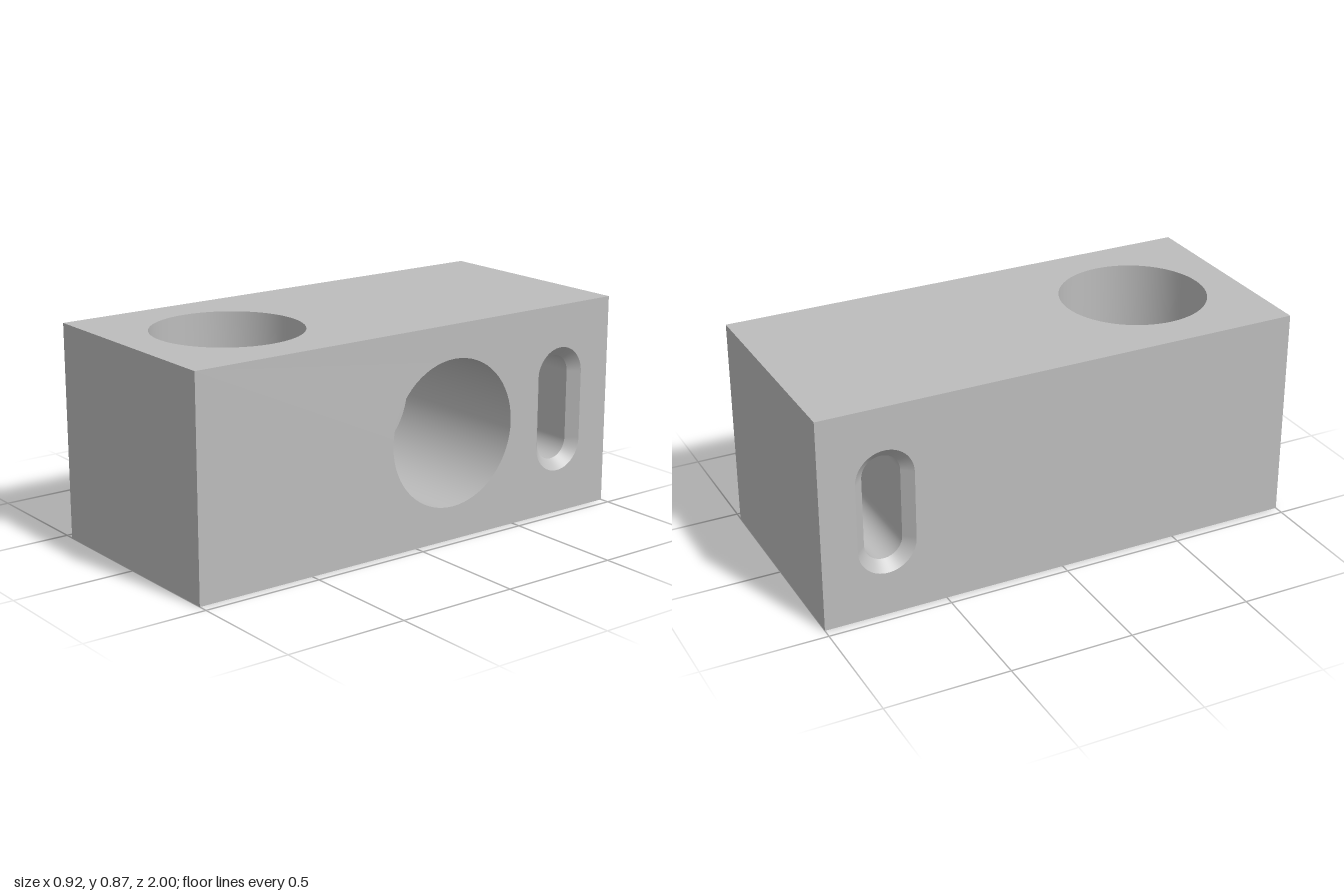
import * as THREE from 'three';

const W = 0.46, H = 0.87, L = 1;      // half width, height, half length
const SEG = 64;
const BORE = { radius: 0.298, depth: 0.65 };
const SLOT = { z: -0.738, y: 0.437, half: 0.14, inner: 0.077, outer: 0.118, bevel: 0.04 };

const grey = new THREE.MeshStandardMaterial({ color: 0xbcbcbc });
grey.name = 'grey';

function mesh(name, geometry) {
  const m = new THREE.Mesh(geometry, grey);
  m.name = name;
  return m;
}

// Rounded slot outline (a circle when half is 0), anticlockwise
function outline(cx, cy, radius, half = 0) {
  const points = [];
  for (let end = 0; end < 2; end++) {
    const n = SEG / 2 + (half > 0 ? 1 : 0);
    for (let i = 0; i < n; i++) {
      const a = Math.PI * (end + i / (SEG / 2));
      const shift = end === 0 ? half : -half;
      points.push(new THREE.Vector2(cx + radius * Math.cos(a), cy + shift + radius * Math.sin(a)));
    }
  }
  return points;
}

// Flat face centred on the local origin, facing +z, with optional openings
function face(name, w, h, holes = []) {
  const shape = new THREE.Shape([[-w, -h], [w, -h], [w, h], [-w, h]].map(p => new THREE.Vector2(...p)));
  for (const points of holes) shape.holes.push(new THREE.Path(points));
  return mesh(name, new THREE.ShapeGeometry(shape));
}

// Inward-facing wall between two matching outlines
function band(name, a, za, b, zb) {
  const n = a.length, positions = [], index = [];
  a.forEach(p => positions.push(p.x, p.y, za));
  b.forEach(p => positions.push(p.x, p.y, zb));
  for (let i = 0; i < n; i++) {
    const j = (i + 1) % n;
    index.push(i, j, n + i, j, n + j, n + i);
  }
  const g = new THREE.BufferGeometry();
  g.setAttribute('position', new THREE.Float32BufferAttribute(positions, 3));
  g.setIndex(index);
  g.computeVertexNormals();
  return mesh(name, g);
}

// Blind round hole sunk into a face
function bore(name, cx, cy) {
  const group = new THREE.Group();
  group.name = name;
  const { radius, depth } = BORE;
  const rim = outline(0, 0, radius);
  const floor = mesh(name + 'Floor', new THREE.CircleGeometry(radius, SEG));
  floor.position.z = -depth;
  group.add(band(name + 'Wall', rim, 0, rim, -depth), floor);
  group.position.set(cx, cy, 0);
  return group;
}

export function createModel() {
  const model = new THREE.Group();
  model.name = 'drilledBlock';
  const mid = H / 2;

  // Plain faces
  const front = face('frontFace', W, mid);
  front.position.set(0, mid, L);
  const back = face('backFace', W, mid);
  back.position.set(0, mid, -L);
  back.rotation.y = Math.PI;
  const bottom = face('bottomFace', W, L);
  bottom.rotation.x = Math.PI / 2;
  model.add(front, back, bottom);

  // Top with its round hole
  const top = new THREE.Group();
  top.name = 'top';
  top.add(face('topFace', W, L, [outline(0, -0.555, BORE.radius)]), bore('topHole', 0, -0.555));
  top.position.y = H;
  top.rotation.x = -Math.PI / 2;
  model.add(top);

  // Sides: local x runs towards the back, local z points out of the left side
  const sides = new THREE.Group();
  sides.name = 'sides';
  const u = -SLOT.z, v = SLOT.y - mid;
  const wide = outline(u, v, SLOT.outer, SLOT.half);
  const narrow = outline(u, v, SLOT.inner, SLOT.half);
  const left = face('leftFace', L, mid, [outline(0.18, 0, BORE.radius), wide]);
  const right = face('rightFace', L, mid, [outline(-u, v, SLOT.outer, SLOT.half)]);
  right.position.z = -2 * W;
  right.rotation.y = Math.PI;
  sides.add(left, right, bore('sideHole', 0.18, 0));

  // Through slot, bevelled at both ends
  const near = -SLOT.bevel, far = -2 * W + SLOT.bevel;
  sides.add(
    band('slotLeftBevel', wide, 0, narrow, near),
    band('slotWall', narrow, near, narrow, far),
    band('slotRightBevel', narrow, far, wide, -2 * W)
  );
  sides.position.set(W, mid, 0);
  sides.rotation.y = Math.PI / 2;
  model.add(sides);

  return model;
}
